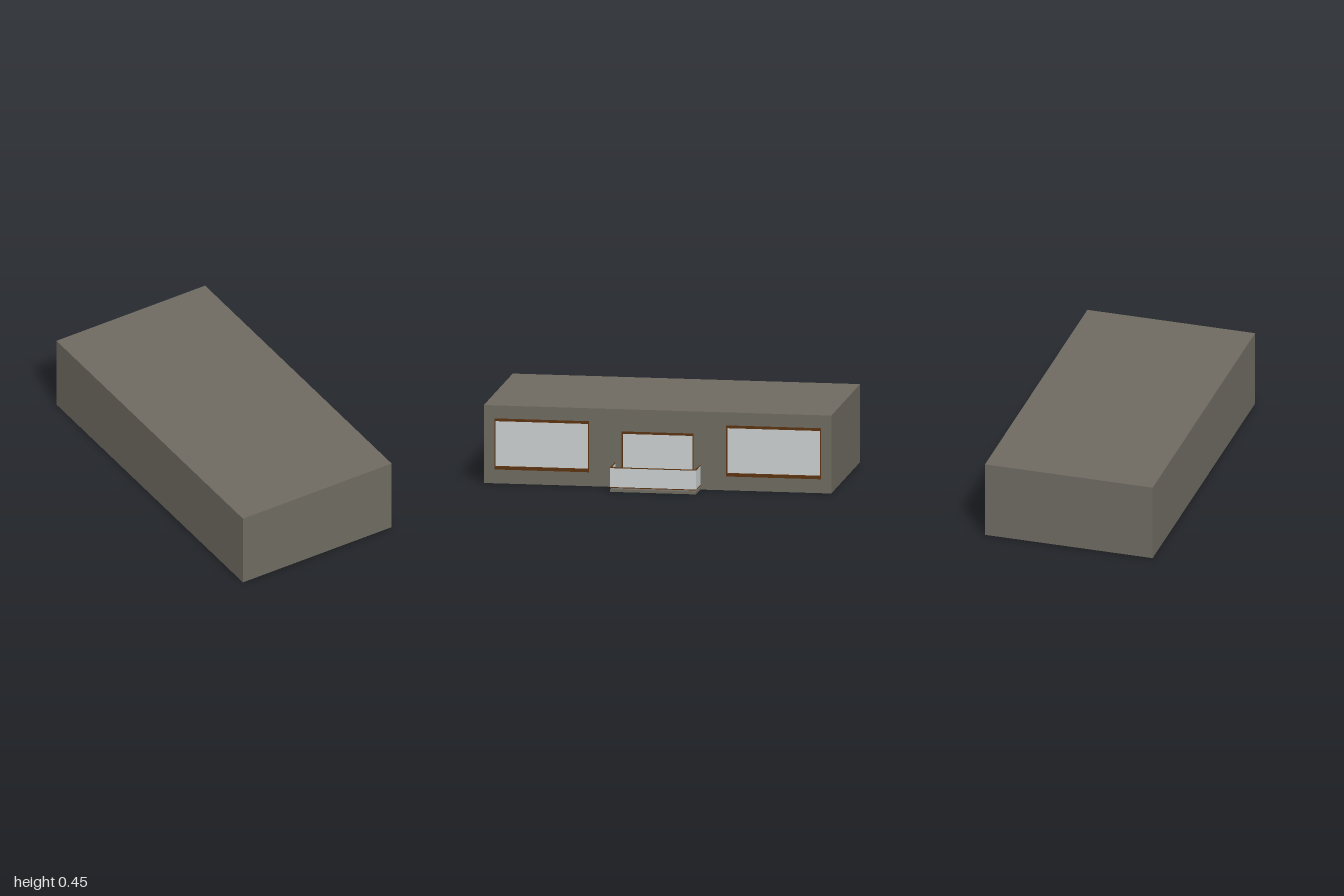
import * as THREE from 'three';

const material = (name, color) => {
  const m = new THREE.MeshStandardMaterial({ color });
  m.name = name;
  return m;
};

const WALL_X = 0.42; // outer plane of the window wall
const BACK_X = -0.575;
const HEIGHT = 0.45;

export function createModel() {
  const stone = material('stone', 0x6e6a61);
  const glass = material('glass', 0xcbcfcf);
  const wood = material('wood', 0x5c3310);
  const model = new THREE.Group();
  model.name = 'building';

  // Box given by its low and high corners
  const box = (parent, name, mat, [x0, y0, z0], [x1, y1, z1]) => {
    const mesh = new THREE.Mesh(new THREE.BoxGeometry(x1 - x0, y1 - y0, z1 - z0), mat);
    mesh.position.set((x0 + x1) / 2, (y0 + y1) / 2, (z0 + z1) / 2);
    mesh.name = name;
    parent.add(mesh);
  };

  // Openings in the wall: z range, y range, head and sill thickness
  const openings = [
    { name: 'frontWindow', z0: 0.395, z1: 0.94, y0: 0.08, y1: 0.375, head: 0.016, sill: 0.018 },
    { name: 'balconyDoor', z0: -0.207, z1: 0.207, y0: 0.015, y1: 0.322, head: 0.014, sill: 0.005 },
    { name: 'rearWindow', z0: -0.94, z1: -0.395, y0: 0.08, y1: 0.375, head: 0.016, sill: 0.018 },
  ];

  // Whole block, extruded along x; its openings are only as deep as the wall
  const depth = 0.03;
  box(model, 'body', stone, [BACK_X, 0, -1], [WALL_X - depth, HEIGHT, 1]);
  const rect = (T, a, b, c, d) =>
    new T([[a, c], [b, c], [b, d], [a, d]].map(([x, y]) => new THREE.Vector2(x, y)));
  const outline = rect(THREE.Shape, -1, 1, 0, HEIGHT);
  openings.forEach(o => outline.holes.push(rect(THREE.Path, -o.z1, -o.z0, o.y0, o.y1)));
  const wall = new THREE.Mesh(
    new THREE.ExtrudeGeometry(outline, { depth, bevelEnabled: false }), stone);
  wall.rotation.y = Math.PI / 2;
  wall.position.x = WALL_X - depth;
  wall.name = 'windowWall';
  model.add(wall);

  // Recessed glass with a wooden frame lining each opening
  const jamb = 0.005;
  for (const o of openings) {
    const g = new THREE.Group();
    g.name = o.name;
    const x0 = WALL_X - depth, x1 = WALL_X;
    box(g, 'pane', glass, [x0, o.y0, o.z0], [WALL_X - 0.016, o.y1, o.z1]);
    box(g, 'sill', wood, [x0, o.y0, o.z0], [x1, o.y0 + o.sill, o.z1]);
    box(g, 'head', wood, [x0, o.y1 - o.head, o.z0], [x1, o.y1, o.z1]);
    for (const z of [o.z0, o.z1 - jamb])
      box(g, 'jamb', wood, [x0, o.y0 + o.sill, z], [x1, o.y1 - o.head, z + jamb]);
    model.add(g);
  }

  // Balcony: slab, glass panels and thin rails raised off the floor
  const balcony = new THREE.Group();
  balcony.name = 'balcony';
  const end = 0.575, half = 0.247, t = 0.005;
  box(balcony, 'slab', stone, [WALL_X, 0, -half], [end, 0.015, half]);
  const panel = (name, x0, x1, z0, z1) => {
    box(balcony, name + 'Glass', glass, [x0, 0.028, z0], [x1, 0.137, z1]);
    box(balcony, name + 'LowerRail', wood, [x0, 0.023, z0], [x1, 0.028, z1]);
    box(balcony, name + 'UpperRail', wood, [x0, 0.137, z0], [x1, 0.142, z1]);
  };
  panel('outer', end - t, end, -half, half);
  panel('frontSide', WALL_X, end - t, half - t, half);
  panel('rearSide', WALL_X, end - t, -half, -half + t);
  model.add(balcony);

  return model;
}
